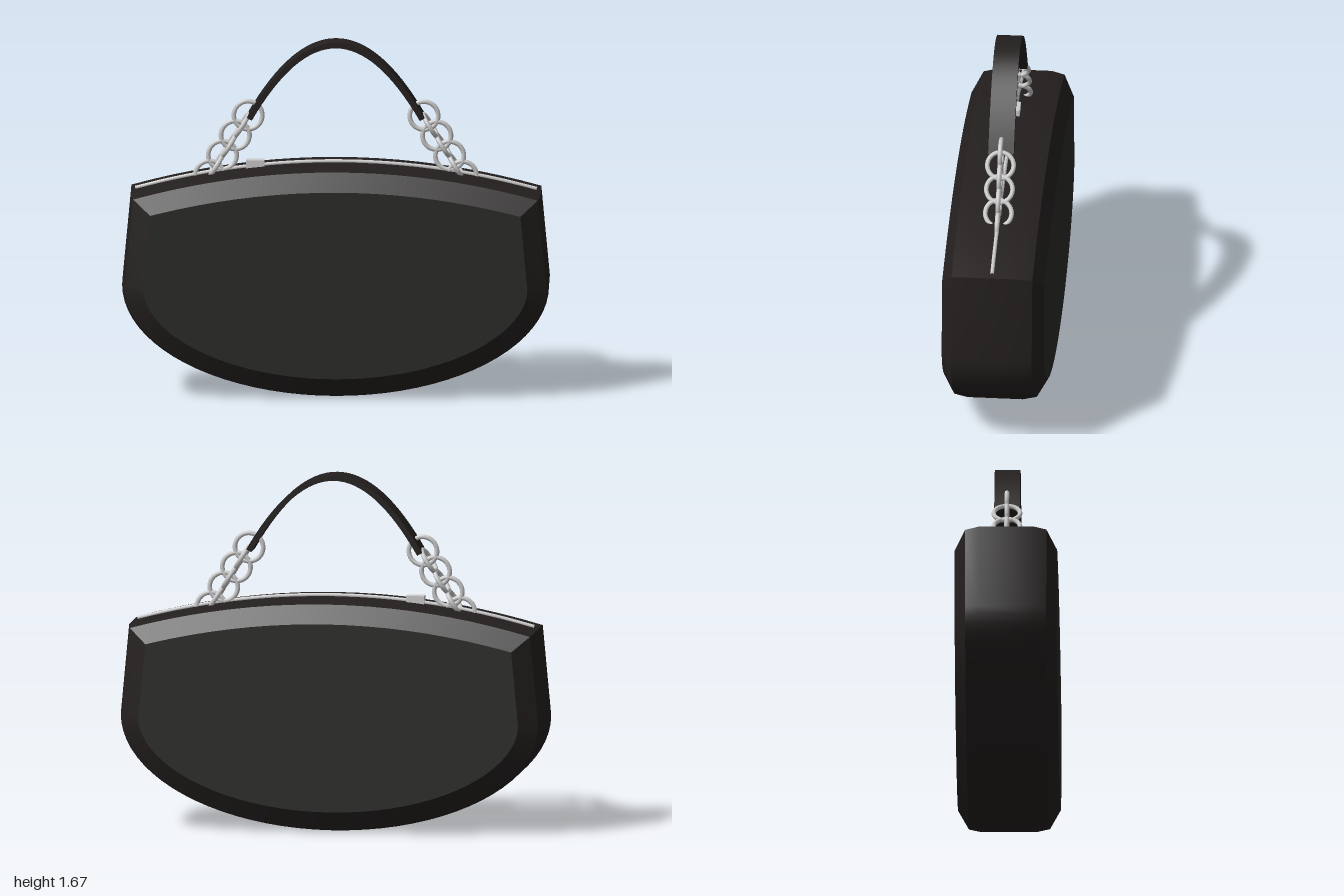
import * as THREE from 'three';
import { toCreasedNormals } from 'three/addons/utils/BufferGeometryUtils.js';

const paint = (color) => new THREE.MeshStandardMaterial({ color });

const topY = (x) => 1.09 - 0.146 * x * x;

// Counter-clockwise outline: elliptical bottom, slanted sides, arched top
function bagOutline() {
  const pts = [];
  for (let i = 0; i <= 40; i++) {
    const a = Math.PI + (i / 40) * Math.PI;
    pts.push(new THREE.Vector2(Math.cos(a), 0.53 + 0.53 * Math.sin(a)));
  }
  for (let i = 0; i <= 20; i++) {
    const x = 0.96 - (i / 20) * 1.92;
    pts.push(new THREE.Vector2(x, topY(x)));
  }
  return pts;
}

// Moves every edge of a closed outline inward by d, with mitred corners
function inset(pts, d) {
  const n = pts.length;
  return pts.map((p, i) => {
    const e1 = p.clone().sub(pts[(i + n - 1) % n]).normalize();
    const e2 = pts[(i + 1) % n].clone().sub(p).normalize();
    const n1 = new THREE.Vector2(-e1.y, e1.x);
    const n2 = new THREE.Vector2(-e2.y, e2.x);
    const m = n1.clone().add(n2).normalize();
    return p.clone().addScaledVector(m, d / m.dot(n1));
  });
}

// Skin through loops of equal length, ordered front to back
function loft(loops) {
  const n = loops[0].length;
  const pos = [], idx = [];
  loops.forEach((loop) => loop.forEach((p) => pos.push(p.x, p.y, p.z)));
  for (let l = 0; l < loops.length - 1; l++) {
    for (let i = 0; i < n; i++) {
      const j = (i + 1) % n;
      const a = l * n + i, b = l * n + j, c = a + n, d = b + n;
      idx.push(a, c, b, b, c, d);
    }
  }
  const g = new THREE.BufferGeometry();
  g.setAttribute('position', new THREE.Float32BufferAttribute(pos, 3));
  g.setIndex(idx);
  return toCreasedNormals(g, 0.35);
}

export function createModel() {
  const bag = new THREE.Group();
  bag.name = 'handbag';
  const leather = paint(0x231f1e);
  const panelMat = paint(0x2a2b27);
  const metal = paint(0xcccccc);

  const add = (name, geometry, material, parent = bag) => {
    const m = new THREE.Mesh(geometry, material);
    m.name = name;
    parent.add(m);
    return m;
  };

  // Body shell with bevelled rims: [z, inset]
  const outline = bagOutline();
  const levels = [[0.24, 0.1], [0.19, 0.013], [0.13, 0], [-0.13, 0], [-0.19, 0.013], [-0.24, 0.1]];
  add('body', loft(levels.map(([z, d]) =>
    inset(outline, d).map((p) => new THREE.Vector3(p.x, p.y, z)))), leather);

  // Flat front and back panels
  const panelShape = new THREE.Shape(inset(outline, 0.1));
  add('frontPanel', new THREE.ShapeGeometry(panelShape), panelMat).position.z = 0.24;
  const back = add('backPanel', new THREE.ShapeGeometry(panelShape), panelMat);
  back.position.z = -0.24;
  back.rotation.y = Math.PI;

  // Zip along the arched top, with its slider
  const zipPts = [];
  for (let i = 0; i <= 12; i++) {
    const x = -0.94 + (i / 12) * 1.88;
    zipPts.push(new THREE.Vector3(x, topY(x) + 0.005, 0));
  }
  add('zip', new THREE.TubeGeometry(new THREE.CatmullRomCurve3(zipPts), 40, 0.009, 8), metal);
  const slider = add('zipSlider', new THREE.BoxGeometry(0.085, 0.04, 0.055), metal);
  slider.position.set(-0.378, 1.082, 0);

  // Arched strap: a thin band swept along a parabola
  const strapShape = new THREE.Shape();
  const outer = [], inner = [];
  for (let i = 0; i <= 32; i++) {
    const x = -0.405 + (i / 32) * 0.81;
    const y = 1.657 - 2.15 * x * x;
    const nrm = new THREE.Vector2(4.3 * x, 1).normalize().multiplyScalar(0.013);
    outer.push(new THREE.Vector2(x + nrm.x, y + nrm.y));
    inner.unshift(new THREE.Vector2(x - nrm.x, y - nrm.y));
  }
  strapShape.setFromPoints([...outer, ...inner]);
  const strapGeo = new THREE.ExtrudeGeometry(strapShape, { depth: 0.12, bevelEnabled: false });
  strapGeo.translate(0, 0, -0.06);
  add('strap', toCreasedNormals(strapGeo, 0.5), leather);

  // Ring chains joining strap and body, alternating flat and crosswise links
  const flatRing = new THREE.TorusGeometry(0.067, 0.011, 8, 28);
  const crossRing = new THREE.TorusGeometry(0.062, 0.011, 8, 28).rotateY(Math.PI / 2);
  for (const side of [1, -1]) {
    const chain = new THREE.Group();
    chain.name = side > 0 ? 'leftChain' : 'rightChain';
    for (let i = 0; i < 7; i++) {
      const ring = add('chainRing', i % 2 ? crossRing : flatRing, metal, chain);
      ring.position.set(side * (0.412 + i * 0.03), 1.313 - i * 0.0475, 0);
      ring.rotation.z = side * 0.56;
    }
    bag.add(chain);
  }
  return bag;
}
